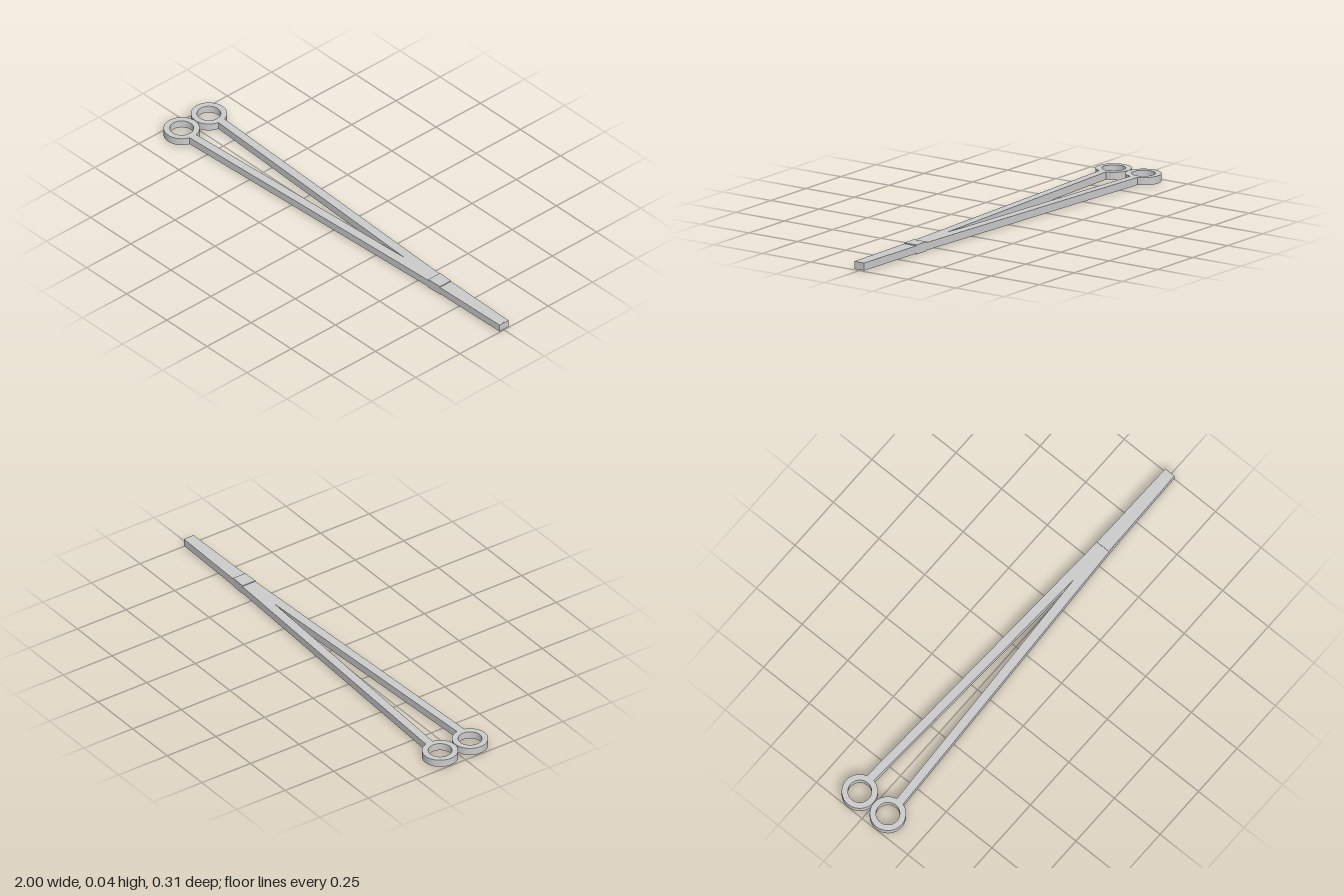
import * as THREE from 'three';
import { toCreasedNormals } from 'three/addons/utils/BufferGeometryUtils.js';

const material = new THREE.MeshStandardMaterial({ color: 0xcccccc });
const BOTTOM = 0.005, TOP = 0.038;

// Plan outline (x, z) extruded upwards between two heights
function slab(name, shape, y0, y1) {
  const geometry = new THREE.ExtrudeGeometry(shape, { depth: y1 - y0, bevelEnabled: false, curveSegments: 48 });
  geometry.rotateX(Math.PI / 2).translate(0, y1, 0);
  const mesh = new THREE.Mesh(toCreasedNormals(geometry, 0.5), material);
  mesh.name = name;
  return mesh;
}

function outline(points, side) {
  return new THREE.Shape(points.map(([x, z]) => new THREE.Vector2(x, z * side)));
}

// One lever: finger ring and arm on one side, jaw crossing to the other
function createLever(side) {
  const lever = new THREE.Group();
  lever.name = side > 0 ? 'frontLever' : 'backLever';

  // Finger ring with round hole
  const ring = new THREE.Shape().absarc(-0.924, 0.077 * side, 0.076, 0, Math.PI * 2, false);
  ring.holes.push(new THREE.Path().absarc(-0.924, 0.077 * side, 0.05, 0, Math.PI * 2, true));
  lever.add(slab('fingerRing', ring, BOTTOM, TOP));

  // Tapering arm, meeting its twin along the middle
  const arm = [[-0.855, 0.099], [0.6, 0.032], [0.6, 0], [0.38, 0], [-0.855, 0.063]];
  lever.add(slab('arm', outline(arm, side), BOTTOM, TOP));

  // Half of the lapped joint, slightly proud of the arms
  const lap = [[0.565, 0.033], [0.6, 0.032], [0.635, 0.031], [0.635, -0.031], [0.6, -0.032], [0.565, -0.033]];
  const [y0, y1] = side > 0 ? [0.0215, 0.042] : [0.001, 0.0215];
  lever.add(slab('lapJoint', outline(lap, side), y0, y1));

  // Slim jaw on the opposite side
  const jaw = [[0.6, 0], [1, 0], [1, -0.025], [0.6, -0.032]];
  lever.add(slab('jaw', outline(jaw, side), BOTTOM, TOP));
  return lever;
}

export function createModel() {
  const model = new THREE.Group();
  model.name = 'tongs';
  for (const side of [1, -1]) model.add(createLever(side));
  return model;
}
